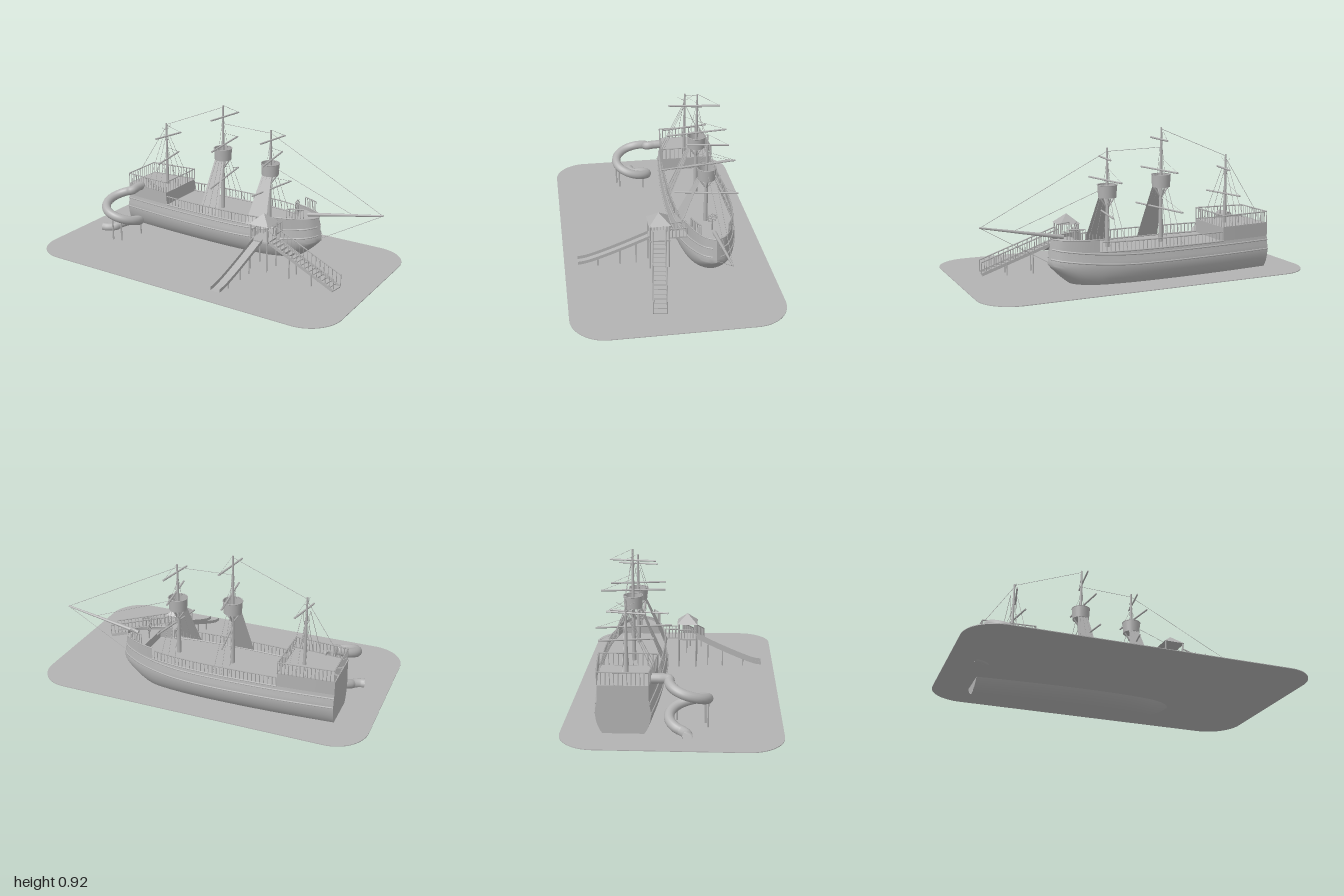
import * as THREE from 'three';
import { toCreasedNormals } from 'three/addons/utils/BufferGeometryUtils.js';

const gray = new THREE.MeshStandardMaterial({ color: 0xb2b2b2, side: THREE.DoubleSide });
gray.name = 'plain gray';
const V = (x, y, z) => new THREE.Vector3(x, y, z);
const CZ = -0.255; // ship centreline

function add(parent, name, geo) {
  const m = new THREE.Mesh(geo, gray);
  m.name = name;
  parent.add(m);
  return m;
}
function group(parent, name) {
  const g = new THREE.Group();
  g.name = name;
  parent.add(g);
  return g;
}
// round bar between two points
function bar(parent, name, a, b, r0, r1 = r0, sides = 6) {
  const d = b.clone().sub(a);
  const m = add(parent, name, new THREE.CylinderGeometry(r1, r0, d.length(), sides));
  m.position.copy(a).addScaledVector(d, 0.5);
  m.quaternion.setFromUnitVectors(V(0, 1, 0), d.normalize());
  return m;
}
function box(parent, name, w, h, d, x, y, z) {
  const m = add(parent, name, new THREE.BoxGeometry(w, h, d));
  m.position.set(x, y, z);
  return m;
}
// surface through rows of points
function loft(rows, crease = 0.6) {
  const n = rows[0].length, pos = rows.flat().flatMap(p => [p.x, p.y, p.z]), idx = [];
  for (let i = 0; i < rows.length - 1; i++) for (let j = 0; j < n - 1; j++) {
    const a = i * n + j, b = a + n;
    idx.push(a, a + 1, b, b, a + 1, b + 1);
  }
  const g = new THREE.BufferGeometry();
  g.setAttribute('position', new THREE.Float32BufferAttribute(pos, 3));
  g.setIndex(idx);
  return toCreasedNormals(g, crease);
}
function tube(parent, name, pts, r, seg = 48, sides = 6) {
  return add(parent, name, new THREE.TubeGeometry(new THREE.CatmullRomCurve3(pts), seg, r, sides));
}

// hull shape: plan half-width, keel height and section
const plan = new THREE.SplineCurve([[-0.795, 0.147], [-0.6, 0.167], [-0.4, 0.182], [-0.15, 0.191], [0.05, 0.188],
  [0.2, 0.174], [0.35, 0.142], [0.45, 0.104], [0.52, 0.06], [0.555, 0]].map(p => new THREE.Vector2(...p))).getPoints(120);
function width(x) {
  for (let i = 1; i < plan.length; i++) if (x <= plan[i].x) {
    const a = plan[i - 1], b = plan[i];
    return Math.max(0, a.y + (b.y - a.y) * (x - a.x) / (b.x - a.x));
  }
  return 0;
}
const keel = x => 0.005 + 0.185 * Math.pow(Math.max(0, (x - 0.25) / 0.305), 1.9);
function half(x, y) {
  if (y >= 0.19) return width(x) * (1 - 0.08 * Math.min(1, (y - 0.19) / 0.07));
  const k = keel(x), t = Math.min(1, (0.19 - y) / Math.max(0.19 - k, 1e-4));
  return width(x) * Math.pow(1 - Math.pow(t, 2.2), 0.6);
}
const side = (x, y, s, out = 0) => V(x - Math.max(0, x - 0.3) * Math.max(0, y - 0.19) * 0.6, y, CZ + s * (half(x, y) + out));
const span = (a, b, n) => Array.from({ length: n + 1 }, (_, i) => a + (b - a) * i / n);

function deck(parent, name, x0, x1, y) {
  add(parent, name, loft(span(x0, x1, 24).map(x => [side(x, y, -1), side(x, y, 1)])));
}
function bulkhead(parent, name, x, y0, y1) {
  add(parent, name, loft(span(y0, y1, 16).map(y => [side(x, y, -1), side(x, y, 1)])));
}
// balustrade along a list of points
function railing(parent, name, pts, h, r = 0.0025) {
  const g = group(parent, name), up = V(0, h, 0);
  pts.forEach((p, i) => {
    bar(g, 'baluster', p, p.clone().add(up), r, r, 4);
    if (i) {
      bar(g, 'handrail', pts[i - 1].clone().add(up), p.clone().add(up), 0.004, 0.004, 4);
    }
  });
}
const line = (a, b, n) => span(0, 1, n).map(t => a.clone().lerp(b, t));

function buildHull(root) {
  const g = group(root, 'hull');
  const xs = [...span(-0.795, 0.25, 20), ...span(0.27, 0.555, 24)];
  add(g, 'hullShell', loft(xs.map(x => {
    const k = keel(x), ys = [...span(0, 1, 12).map(t => k + (0.19 - k) * t * t), 0.21, 0.235, 0.262];
    return [...ys.slice().reverse().map(y => side(x, y, -1)), ...ys.slice(1).map(y => side(x, y, 1))];
  })));
  bulkhead(g, 'transom', -0.795, 0.005, 0.34);
  deck(g, 'mainDeck', -0.48, 0.39, 0.258);
  deck(g, 'poopDeck', -0.795, -0.475, 0.338);
  deck(g, 'foreDeck', 0.38, 0.555, 0.31);
  bulkhead(g, 'poopBulkhead', -0.475, 0.258, 0.34);
  bulkhead(g, 'foreBulkhead', 0.38, 0.258, 0.31);
  for (const s of [-1, 1]) {
    const wall = (name, x0, x1, top) => add(g, name, loft(span(x0, x1, 24).map(x => [side(x, 0.26, s), side(x, top, s)])));
    wall('poopSide', -0.795, -0.475, 0.345);
    wall('bowBulwark', 0.3, 0.555, 0.33);
    for (const y of [0.186, 0.24]) // wales
      tube(g, 'wale', span(-0.795, 0.545, 40).map(x => side(x, y + 0.035 * Math.pow(Math.max(0, x) / 0.55, 2), s, 0.001)), 0.005, 80);
    tube(g, 'gunwale', span(-0.475, 0.3, 24).map(x => side(x, 0.262, s)), 0.005);
    tube(g, 'bowCap', span(0.3, 0.553, 24).map(x => side(x, 0.33, s)), 0.004);
    railing(g, 'mainRail', span(-0.47, 0.285, 32).map(x => side(x, 0.262, s)), 0.055);
    railing(g, 'poopRail', span(-0.79, -0.475, 15).map(x => side(x, 0.34, s)), 0.07);
    railing(g, 'bowRail', span(0.385, 0.485, 6).map(x => side(x, 0.33, s)), 0.062);
  }
  railing(g, 'sternRail', line(side(-0.79, 0.34, -1), side(-0.79, 0.34, 1), 12), 0.07);
  railing(g, 'poopFrontRail', line(side(-0.477, 0.34, -1), side(-0.477, 0.34, 1), 12), 0.07);
  // steering wheel on its stand
  bar(g, 'wheelStand', V(0.39, 0.31, CZ), V(0.39, 0.385, CZ), 0.005);
  const wheel = group(g, 'steeringWheel');
  wheel.position.set(0.383, 0.385, CZ);
  wheel.rotation.y = Math.PI / 2;
  add(wheel, 'wheelRim', new THREE.TorusGeometry(0.024, 0.003, 6, 24));
  for (let i = 0; i < 4; i++) {
    const c = Math.cos(i * Math.PI / 4) * 0.032, s = Math.sin(i * Math.PI / 4) * 0.032;
    bar(wheel, 'spoke', V(-c, -s, 0), V(c, s, 0), 0.002);
  }
  bar(g, 'bowsprit', V(0.46, 0.335, CZ), V(0.935, 0.424, CZ), 0.012, 0.005, 10);
}

// yards: [height, half length, yaw]
function buildMast(root, name, x, base, top, nest, yards) {
  const g = group(root, name);
  const r = nest ? 0.014 : 0.011;
  bar(g, 'mastPole', V(x, base, CZ), V(x, top, CZ), r, 0.005, 12);
  for (const [y, l, yaw] of yards) {
    const dx = Math.sin(yaw) * l, dz = Math.cos(yaw) * l, c = x + 0.014;
    bar(g, 'yard', V(c - dx, y, CZ - dz), V(c + dx, y, CZ + dz), 0.0055, 0.0055, 8);
    bar(g, 'yardRope', V(x, Math.min(top, y + 0.07), CZ), V(c - dx, y, CZ - dz), 0.001, 0.001, 4);
  }
  const high = nest || top - 0.08;
  for (const s of [-1, 1]) for (const d of [-0.05, 0, 0.05]) {
    const foot = side(x + d, nest ? 0.27 : 0.345, s);
    bar(g, 'shroud', foot, V(x + d * 0.4, high, CZ + s * (nest ? 0.045 : 0.005)), 0.0015, 0.0015, 4);
  }
  for (const s of [-1, 1]) bar(g, 'topShroud', V(x, top - 0.05, CZ), V(x, high + 0.06, CZ + s * 0.05), 0.0012, 0.0012, 4);
  if (!nest) return;
  // lookout basket with struts
  const wall = add(g, 'basketWall', new THREE.CylinderGeometry(0.056, 0.052, 0.072, 24, 1, true));
  wall.position.set(x, nest + 0.036, CZ);
  const floor = add(g, 'basketFloor', new THREE.CylinderGeometry(0.052, 0.052, 0.006, 24));
  floor.position.set(x, nest + 0.003, CZ);
  const rim = add(g, 'basketRim', new THREE.TorusGeometry(0.056, 0.003, 6, 24));
  rim.rotation.x = Math.PI / 2;
  rim.position.set(x, nest + 0.072, CZ);
  for (let i = 0; i < 4; i++) {
    const a = i * Math.PI / 2;
    bar(g, 'basketStrut', V(x, nest - 0.065, CZ), V(x + Math.cos(a) * 0.045, nest, CZ + Math.sin(a) * 0.045), 0.005);
  }
  // climbing net up one side
  add(g, 'climbingNet', loft([[V(x - 0.068, 0.262, -0.08), V(x + 0.068, 0.262, -0.08)],
    [V(x - 0.033, nest, CZ + 0.045), V(x + 0.033, nest, CZ + 0.045)]]));
}

function buildRigging(root) {
  const g = group(root, 'rigging');
  const ropes = [[-0.58, 0.74, -0.145, 0.915], [-0.145, 0.81, 0.195, 0.8], [0.195, 0.8, 0.93, 0.425], [0.195, 0.6, 0.75, 0.39],
    [-0.58, 0.73, -0.79, 0.41], [0.93, 0.42, 0.55, 0.2]];
  for (const [x0, y0, x1, y1] of ropes) bar(g, 'stay', V(x0, y0, CZ), V(x1, y1, CZ), 0.0014, 0.0014, 4);
}

function buildSpiralSlide(root) {
  const g = group(root, 'spiralSlide'), cx = -0.69, cz = 0.085, R = 0.104;
  const pts = [V(cx, 0.345, -0.12), V(cx, 0.345, -0.07)];
  for (let i = 0; i <= 28; i++) {
    const a = (i / 28) * Math.PI * 2.4;
    pts.push(V(cx - R * Math.sin(a), 0.34 - 0.25 * i / 28, cz - R * Math.cos(a)));
  }
  pts.push(V(-0.825, 0.088, 0.08), V(-0.855, 0.088, 0.085));
  tube(g, 'slideTube', pts, 0.028, 160, 14);
  for (const [x, z, y] of [[-0.635, 0.175, 0.24], [-0.6, 0.02, 0.14], [-0.69, 0.19, 0.24]])
    bar(g, 'slidePost', V(x, 0.07, z), V(x, y, z), 0.005);
}

function buildTower(root) {
  const g = group(root, 'accessTower'), cx = 0.325, cz = 0.045, h = 0.055;
  box(g, 'platform', 0.12, 0.01, 0.12, cx, 0.255, cz);
  for (const sx of [-1, 1]) for (const sz of [-1, 1])
    bar(g, 'towerPost', V(cx + sx * h, 0.07, cz + sz * h), V(cx + sx * h, 0.36, cz + sz * h), 0.004);
  const roof = add(g, 'pyramidRoof', new THREE.ConeGeometry(0.064 * Math.SQRT2, 0.058, 4, 1).toNonIndexed());
  roof.geometry.computeVertexNormals();
  roof.rotation.y = Math.PI / 4;
  roof.position.set(cx, 0.383, cz);
  railing(g, 'towerRail', line(V(cx - h, 0.26, cz - h), V(cx - h, 0.26, cz + h), 6), 0.055);
  // bridge to the ship
  box(g, 'bridge', 0.07, 0.008, 0.11, cx, 0.256, -0.065);
  for (const s of [-1, 1]) railing(g, 'bridgeRail', line(V(cx + s * 0.035, 0.26, -0.115), V(cx + s * 0.035, 0.26, -0.01), 5), 0.055);
  // stairs
  const st = group(g, 'stairs'), L = 0.452;
  st.position.set(0.385, 0, 0.05);
  st.rotation.y = -0.125;
  for (let i = 0; i < 16; i++) box(st, 'tread', 0.026, 0.005, 0.07, L * (i + 0.5) / 16, 0.25 - 0.165 * i / 15, 0);
  for (const s of [-1, 1]) {
    const z = s * 0.037;
    const stringer = box(st, 'stringer', 0.478, 0.018, 0.004, L / 2, 0.17, z);
    stringer.rotation.z = -Math.atan2(0.17, L);
    railing(st, 'stairRail', line(V(0, 0.26, z), V(L, 0.09, z), 16), 0.068);
    for (const x of [0.15, 0.305]) bar(st, 'stairPost', V(x, 0.07, z), V(x, 0.255 - 0.37 * x, z), 0.004);
  }
  // open straight slide: channel section swept along a sagging path
  const path = new THREE.CatmullRomCurve3([V(0.32, 0.255, 0.1), V(0.308, 0.187, 0.25), V(0.298, 0.13, 0.39),
    V(0.292, 0.103, 0.47), V(0.29, 0.096, 0.515)]);
  add(g, 'openSlide', loft(path.getPoints(24).map(p => [[-0.03, 0.02], [-0.03, 0], [0.03, 0], [0.03, 0.02]]
    .map(([x, y]) => V(p.x + x, p.y + y, p.z)))));
  for (const [z, y] of [[0.175, 0.21], [0.27, 0.175], [0.4, 0.125]])
    bar(g, 'slidePost', V(0.305, 0.07, z), V(0.305, y, z), 0.004);
}

function buildGround(root) {
  const s = new THREE.Shape(), w = 1, d = 0.593, r = 0.2;
  s.absarc(w - r, d - r, r, 0, Math.PI / 2);
  s.absarc(-w + r, d - r, r, Math.PI / 2, Math.PI);
  s.absarc(-w + r, -d + r, r, Math.PI, Math.PI * 1.5);
  s.absarc(w - r, -d + r, r, Math.PI * 1.5, Math.PI * 2);
  const m = add(root, 'groundPlate', new THREE.ExtrudeGeometry(s, { depth: 0.004, bevelEnabled: false, curveSegments: 12 }));
  m.rotation.x = -Math.PI / 2;
  m.position.y = 0.068;
}

export function createModel() {
  const root = new THREE.Group();
  root.name = 'playgroundShip';
  buildGround(root);
  buildHull(root);
  buildMast(root, 'mizzenMast', -0.58, 0.338, 0.75, 0, [[0.667, 0.11, -0.2], [0.517, 0.15, 0.17]]);
  buildMast(root, 'mainMast', -0.147, 0.258, 0.925, 0.58, [[0.857, 0.135, -0.12], [0.68, 0.187, 0.12], [0.46, 0.225, 0.17]]);
  buildMast(root, 'foreMast', 0.193, 0.258, 0.82, 0.54, [[0.762, 0.12, -0.15], [0.64, 0.17, 0.15], [0.452, 0.187, -0.17]]);
  buildRigging(root);
  buildSpiralSlide(root);
  buildTower(root);
  return root;
}
